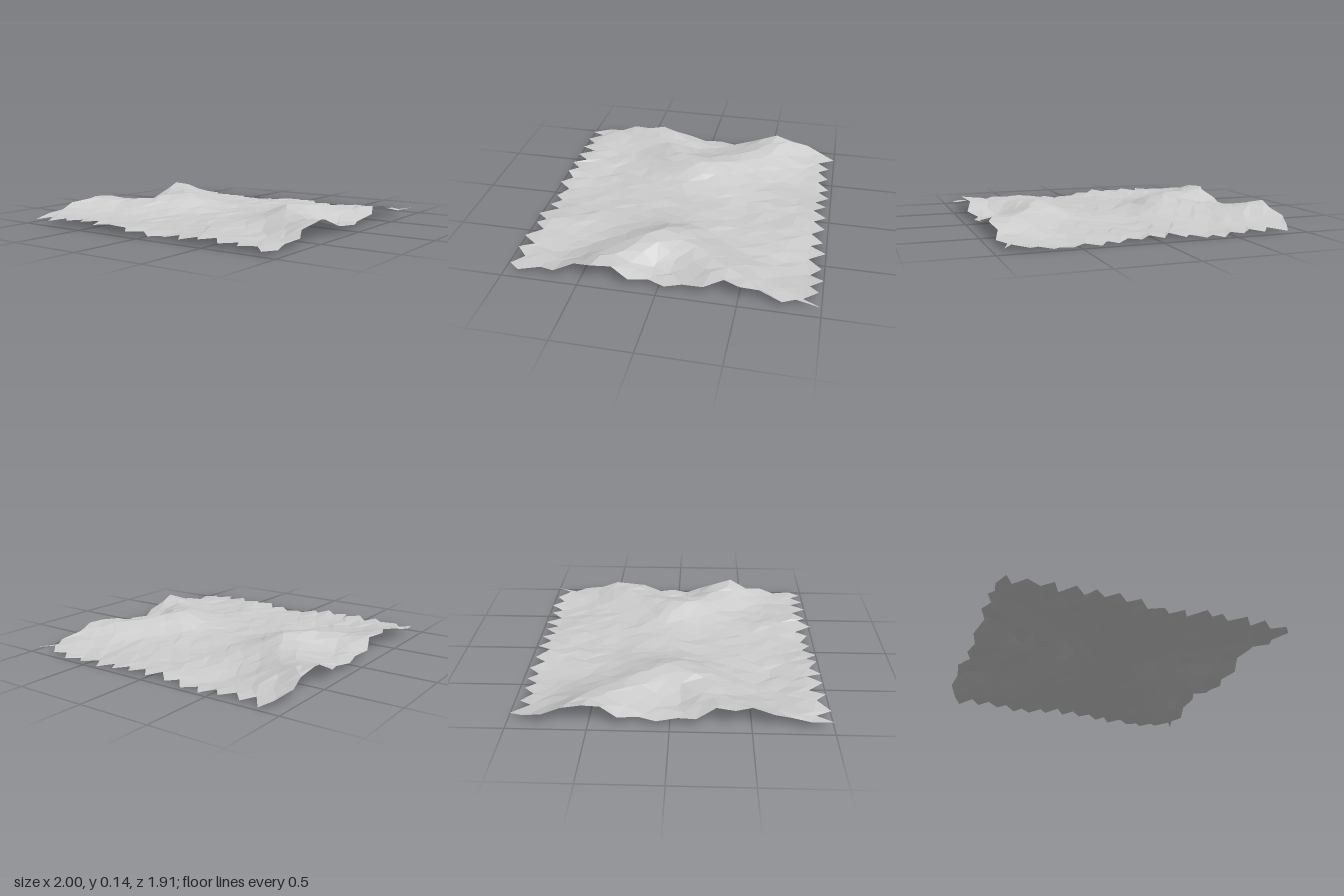
import * as THREE from 'three';

const COLS = 17, ROWS = 28;

// Small seeded random, returns -1..1
function seeded(seed) {
  let s = seed;
  return () => {
    s = (s * 16807) % 2147483647;
    return (s / 2147483647) * 2 - 1;
  };
}

// Curved ridge: apex on the middle line, arms sweeping out to the edge;
// the slope towards the middle is gentler than the outer one
function ridge(x, z, apex, spread, innerWidth, outerWidth) {
  const line = Math.hypot(apex, spread * x);
  const slope = (spread * spread * x) / line;
  const d = (z - line) / Math.hypot(1, slope);
  const t = d / (d < 0 ? innerWidth : outerWidth);
  return Math.exp(-t * t);
}

// Ridge crest: highest at the apex, lower along the arms
const crest = (x, arm, top) => arm + (top - arm) * Math.exp(-((x / 0.24) ** 2));

// Low hills and hollows: x, z, height, radius in x, radius in z
const HILLS = [
  [0.52, -0.95, 0.055, 0.2, 0.2],
  [-0.33, -0.95, 0.035, 0.2, 0.2],
  [-0.75, -0.9, 0.03, 0.3, 0.25],
  [-0.95, -0.35, 0.03, 0.2, 0.3],
  [-0.9, 0.5, 0.025, 0.2, 0.2],
  [-0.4, 0.92, 0.03, 0.15, 0.15],
  [0.36, 0.95, 0.02, 0.18, 0.15],
  [0.85, 0.5, -0.02, 0.25, 0.2],
  [0.92, -0.38, -0.02, 0.25, 0.2],
  [-0.45, 0.27, 0.02, 0.25, 0.12],
];

function height(x, z) {
  let y = 0.054 - 0.017 * Math.abs(x);
  y += ridge(x, -z, 0.44, x > 0 ? 1.45 : 1.8, 0.2, 0.19) * crest(x, 0.06, 0.108);
  y += ridge(x, z, 0.53, x > 0 ? 1.65 : 1.85, 0.2, 0.16) * crest(x, 0.06, 0.1);
  for (const [hx, hz, h, rx, rz] of HILLS) {
    y += h * Math.exp(-(((x - hx) / rx) ** 2) - ((z - hz) / rz) ** 2);
  }
  return y + 0.004 * Math.sin(9 * x + 5 * z) + 0.004 * Math.sin(13 * z - 4 * x);
}

export function createModel() {
  const group = new THREE.Group();
  group.name = 'terrain';
  const rock = new THREE.MeshStandardMaterial({ color: 0xcccccc, flatShading: true, side: THREE.DoubleSide });
  rock.name = 'pale grey ground';

  // Staggered, jittered grid gives the sheet its toothed border
  const rand = seeded(4711);
  const positions = [];
  for (let r = 0; r < ROWS; r++) {
    for (let c = 0; c < COLS; c++) {
      const x = -0.94 + (c / (COLS - 1)) * 1.88 + (r % 2 ? 0.04 : -0.04) + rand() * 0.02;
      const z = -0.935 + (r / (ROWS - 1)) * 1.87 + (c % 2 ? -0.02 : 0.02) + rand() * 0.015;
      positions.push(x, height(x, z) + rand() * 0.006, z);
    }
  }

  // Diagonals alternate with the stagger
  const index = [];
  for (let r = 0; r < ROWS - 1; r++) {
    for (let c = 0; c < COLS - 1; c++) {
      const a = r * COLS + c, b = a + 1, d = a + COLS, e = d + 1;
      if (r % 2) index.push(a, d, e, a, e, b);
      else index.push(a, d, b, b, d, e);
    }
  }

  const geometry = new THREE.BufferGeometry();
  geometry.setAttribute('position', new THREE.Float32BufferAttribute(positions, 3));
  geometry.setIndex(index);

  // Centre and stand on the ground
  geometry.computeBoundingBox();
  const box = geometry.boundingBox;
  const mid = box.getCenter(new THREE.Vector3());
  geometry.translate(-mid.x, -box.min.y, -mid.z);

  const flat = geometry.toNonIndexed();
  flat.computeVertexNormals();
  const ground = new THREE.Mesh(flat, rock);
  ground.name = 'groundSurface';
  group.add(ground);
  return group;
}
